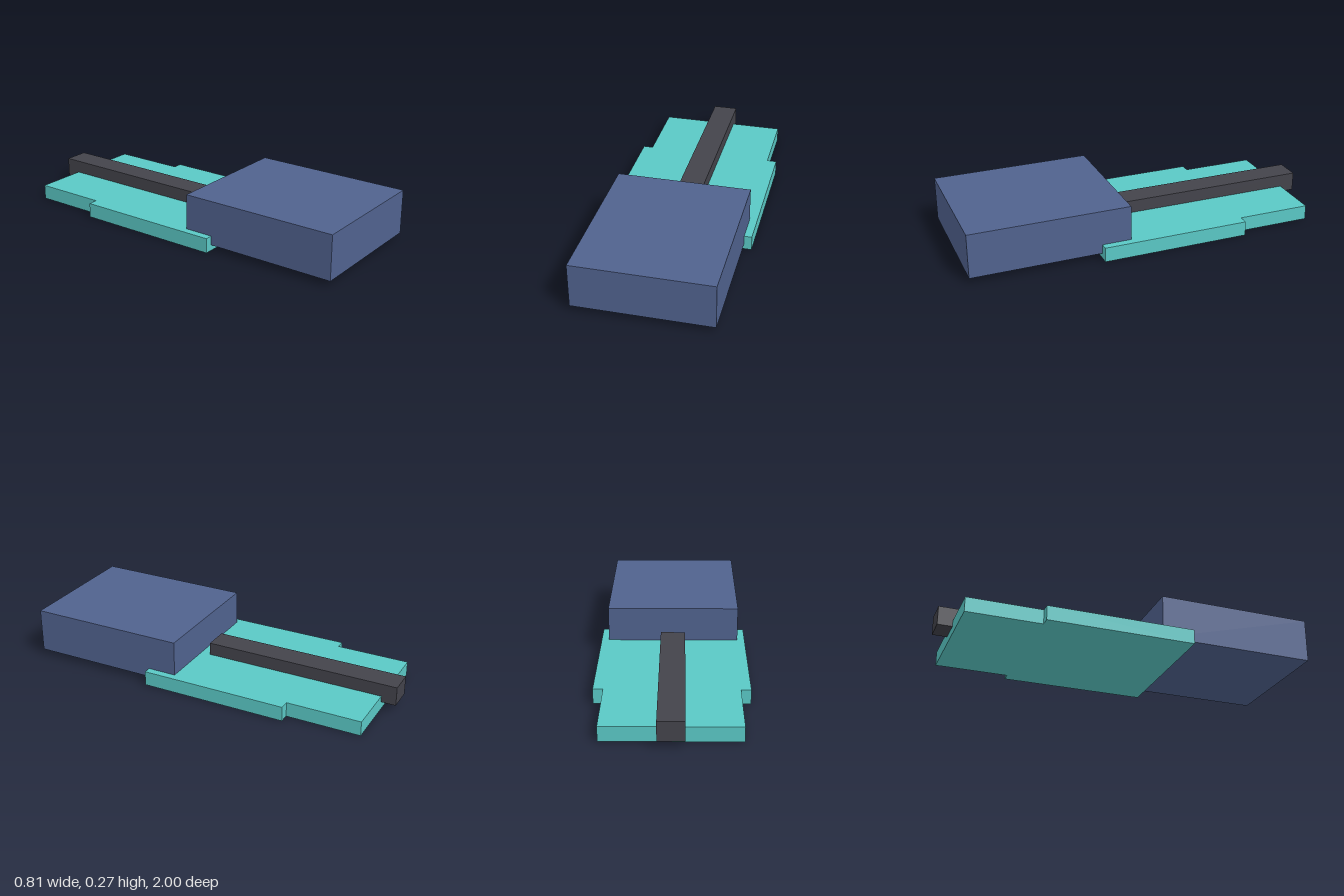
import * as THREE from 'three';

function material(name, color) {
  const m = new THREE.MeshStandardMaterial({ color });
  m.name = name;
  return m;
}

// Box given by its extents along each axis
function block(name, mat, [x0, x1], [y0, y1], [z0, z1]) {
  const mesh = new THREE.Mesh(new THREE.BoxGeometry(x1 - x0, y1 - y0, z1 - z0), mat);
  mesh.position.set((x0 + x1) / 2, (y0 + y1) / 2, (z0 + z1) / 2);
  mesh.name = name;
  return mesh;
}

export function createModel() {
  const teal = material('teal', 0x5ac8c5);
  const navy = material('navy blue', 0x50628e);
  const charcoal = material('charcoal', 0x43434b);

  const model = new THREE.Group();
  model.name = 'model';

  // Stepped base plate: wide in front, narrower at the back
  const half = [[0.405, -0.295], [0.405, 0.515], [0.352, 0.515], [0.352, 0.92]];
  const mirrored = half.map(([x, y]) => [-x, y]).reverse();
  const outline = new THREE.Shape([...half, ...mirrored].map(([x, y]) => new THREE.Vector2(x, y)));
  const plateGeometry = new THREE.ExtrudeGeometry(outline, { depth: 0.08, bevelEnabled: false });
  plateGeometry.rotateX(-Math.PI / 2);
  const plate = new THREE.Mesh(plateGeometry, teal);
  plate.name = 'basePlate';
  model.add(plate);

  // Large block overhanging the front of the plate
  model.add(block('frontBlock', navy, [-0.364, 0.364], [0.03, 0.271], [0.135, 1]));

  // Long bar along the middle, overhanging the back
  model.add(block('centreBar', charcoal, [-0.068, 0.068], [0.046, 0.15], [-1, 0.08]));

  return model;
}
